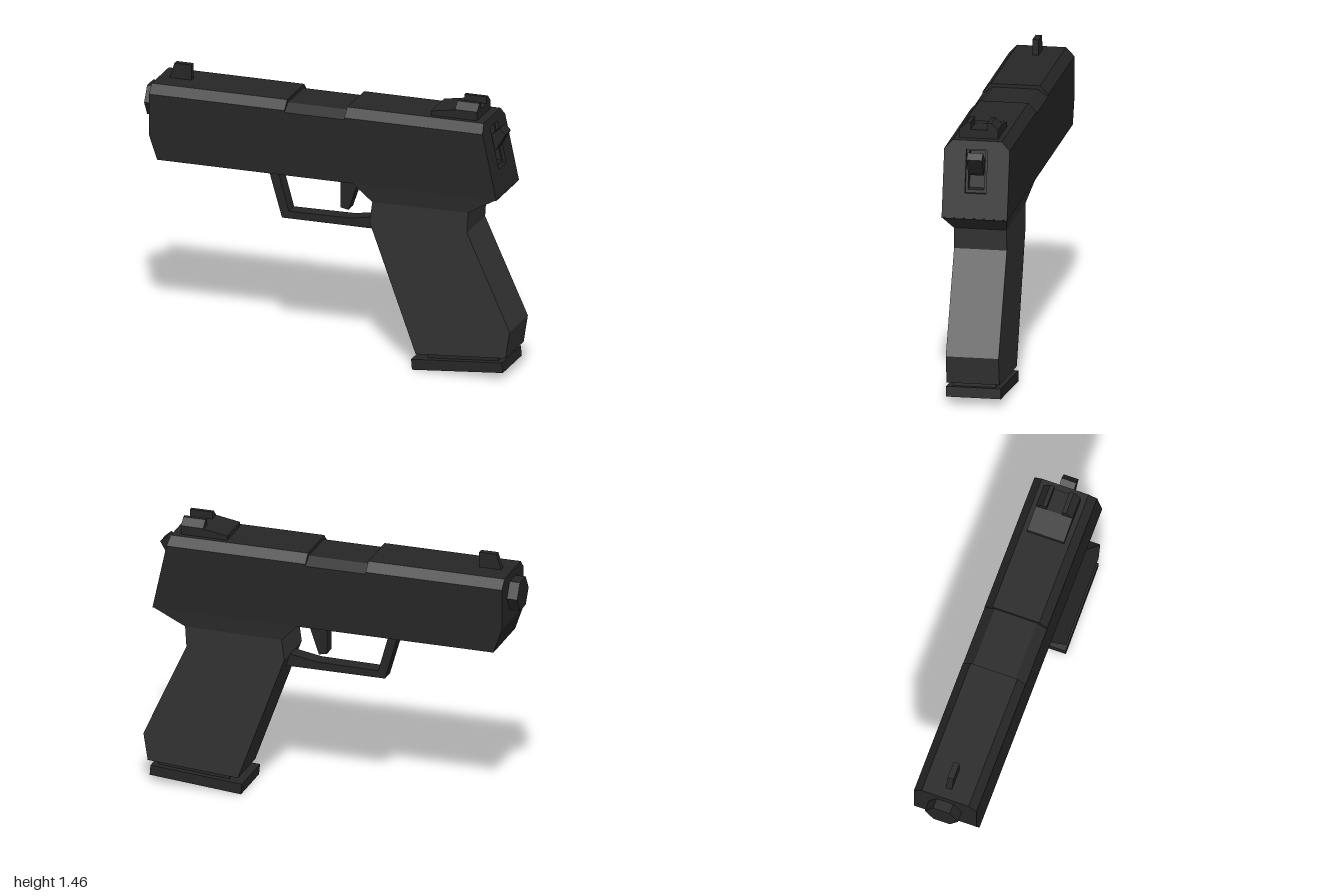
import * as THREE from 'three';

const steel = new THREE.MeshStandardMaterial({ color: 0x262626, flatShading: true });
const frame = new THREE.MeshStandardMaterial({ color: 0x323232, flatShading: true });

// Stacked four-cornered cross-sections, bottom to top: [xFront, yFront, xRear, yRear, halfWidth]
function loft(levels) {
  const rings = levels.map(([x0, y0, x1, y1, h]) => [[x0, y0, h], [x1, y1, h], [x1, y1, -h], [x0, y0, -h]]);
  const pos = [];
  const quad = (a, b, c, d) => pos.push(...a, ...b, ...c, ...a, ...c, ...d);
  for (let i = 0; i < rings.length - 1; i++) {
    for (let j = 0; j < 4; j++) {
      const k = (j + 1) % 4;
      quad(rings[i][j], rings[i][k], rings[i + 1][k], rings[i + 1][j]);
    }
  }
  const [a, b, c, d] = rings[0];
  quad(d, c, b, a);
  quad(...rings[rings.length - 1]);
  const geo = new THREE.BufferGeometry();
  geo.setAttribute('position', new THREE.Float32BufferAttribute(pos, 3));
  geo.computeVertexNormals();
  return geo;
}

const outline = (points) => new THREE.Shape(points.map(([x, y]) => new THREE.Vector2(x, y)));

// Side outline extruded evenly about z = 0
function plate(points, halfWidth) {
  const geo = new THREE.ExtrudeGeometry(outline(points), { depth: 2 * halfWidth, bevelEnabled: false });
  return geo.translate(0, 0, -halfWidth);
}

export function createModel() {
  const model = new THREE.Group();
  const add = (name, geo, mat = steel) => {
    const mesh = new THREE.Mesh(geo, mat);
    mesh.name = name;
    model.add(mesh);
    return mesh;
  };
  const rearX = (y) => 0.94 - (y - 0.98) * 0.215; // sloping rear face

  // Slide: front, lowered middle and rear sections
  add('slideFront', loft([
    [-0.9, 0.98, -0.21, 0.98, 0.17], [-0.945, 1.11, -0.21, 1.11, 0.17],
    [-0.945, 1.33, -0.21, 1.33, 0.17], [-0.945, 1.375, -0.21, 1.375, 0.127],
  ]));
  add('slideMiddle', loft([
    [-0.21, 0.98, 0.115, 0.98, 0.17], [-0.21, 1.32, 0.115, 1.32, 0.17],
    [-0.21, 1.357, 0.115, 1.357, 0.115],
  ]));
  add('slideRear', loft([[0.98, 0.17], [1.33, 0.17], [1.375, 0.127]]
    .map(([y, h]) => [0.115, y, rearX(y) - 0.06, y, h])));

  // Rear end: two sheared slabs forming a stepped slot
  [[0.06, 0.042, 0.042, 1.125, 1.32], [0.018, 0.018, 0.055, 1.11, 1.33]].forEach(([back, depth, w, lo, hi]) => {
    const s = outline([[-0.17, 0.98], [0.17, 0.98], [0.17, 1.33], [0.127, 1.375], [-0.127, 1.375], [-0.17, 1.33]]);
    s.holes.push(outline([[-w, lo], [-w, hi], [w, hi], [w, lo]]));
    const geo = new THREE.ExtrudeGeometry(s, { depth, bevelEnabled: false }).rotateY(Math.PI / 2);
    const p = geo.attributes.position;
    for (let i = 0; i < p.count; i++) p.setX(i, p.getX(i) + rearX(p.getY(i)) - back);
    geo.computeVertexNormals();
    add('slideEnd', geo);
  });
  add('hammer', plate([[0.83, 1.25], [0.885, 1.2], [0.9, 1.22], [0.943, 1.295], [0.91, 1.325], [0.87, 1.29]], 0.04));

  // Six-sided barrel end
  add('barrel', new THREE.CylinderGeometry(0.09, 0.09, 0.1, 6).rotateZ(Math.PI / 2).translate(-0.95, 1.252, 0));

  // Sights
  add('frontSight', plate([[-0.89, 1.37], [-0.77, 1.37], [-0.77, 1.457], [-0.862, 1.457]], 0.016));
  add('rearSightBase', plate([[0.56, 1.37], [0.81, 1.37], [0.81, 1.42], [0.69, 1.42], [0.56, 1.398]], 0.1));
  for (const side of [1, -1]) {
    const pts = [[0.042, 1.415], [0.1, 1.415], [0.1, 1.422], [0.064, 1.457], [0.042, 1.457]];
    const ear = new THREE.ExtrudeGeometry(outline(pts.map(([z, y]) => [-side * z, y])), { depth: 0.12, bevelEnabled: false });
    add('rearSightEar', ear.rotateY(Math.PI / 2).translate(0.69, 0, 0));
  }

  // Grip with flared shoulder
  add('grip', loft([
    [0.49, 0.085, 0.977, 0.12, 0.137], [0.43, 0.25, 1.0, 0.265, 0.137], [0.24, 0.77, 0.768, 0.775, 0.137],
    [0.255, 0.88, 0.775, 0.885, 0.137], [0.16, 0.98, 0.94, 0.985, 0.17],
  ]), frame);

  // Magazine foot
  add('magazineNeck', plate([[0.55, 0.04], [0.93, 0.07], [0.925, 0.125], [0.54, 0.1]], 0.11));
  add('magazineBase', plate([[0.472, 0], [0.965, 0.042], [0.96, 0.095], [0.467, 0.056]], 0.142));

  // Guard and trigger
  add('triggerGuard', plate([
    [-0.352, 0.985], [-0.27, 0.7], [0.28, 0.7], [0.28, 0.772], [0.245, 0.767],
    [0.1, 0.742], [-0.233, 0.738], [-0.302, 0.985],
  ], 0.04));
  add('trigger', plate([[0.045, 0.985], [0.045, 0.792], [0.088, 0.783], [0.157, 0.985]], 0.035));

  return model;
}
